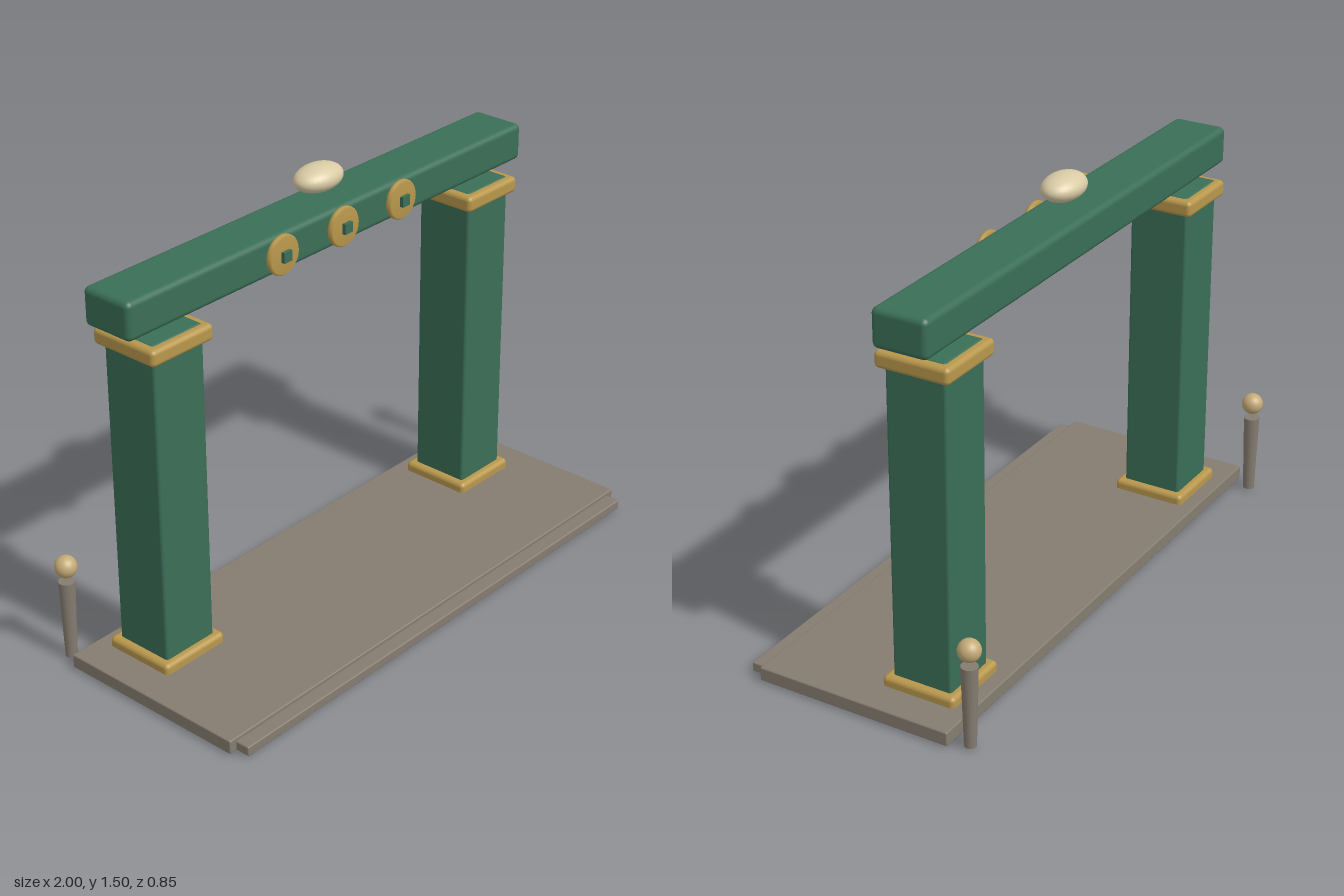
import * as THREE from 'three';
import { RoundedBoxGeometry } from 'three/addons/geometries/RoundedBoxGeometry.js';

const material = (color) => new THREE.MeshStandardMaterial({ color });

export function createModel() {
  const gate = new THREE.Group();
  gate.name = 'gateway';

  const green = material(0x3a6e57);
  const gold = material(0xb8974c);
  const stone = material(0x857c70);
  const ivory = material(0xd8caa4);
  const tan = material(0xc4aa78);
  const AXIS_Z = -0.147; // depth of the pillars and beam

  function add(name, geometry, mat, x, y, z, parent = gate) {
    const mesh = new THREE.Mesh(geometry, mat);
    mesh.name = name;
    mesh.position.set(x, y, z);
    parent.add(mesh);
    return mesh;
  }

  // Rounded block standing between heights y0 and y1
  function block(name, mat, w, d, y0, y1, x, z, radius) {
    return add(name, new RoundedBoxGeometry(w, y1 - y0, d, 3, radius), mat, x, (y0 + y1) / 2, z);
  }

  // Platform with a lower front step
  block('platform', stone, 2, 0.705, 0.009, 0.058, 0, 0.022, 0.005);
  block('frontStep', stone, 1.945, 0.1, 0.011, 0.045, 0, 0.375, 0.005);

  for (const [side, s] of [['left', 1], ['right', -1]]) {
    // Pillar with base and collar
    block(side + 'Pillar', green, 0.212, 0.214, 0.004, 1.22, s * 0.75, AXIS_Z, 0.01);
    block(side + 'PillarBase', gold, 0.265, 0.265, 0.008, 0.092, s * 0.75, AXIS_Z, 0.016);
    block(side + 'PillarCapital', gold, 0.262, 0.262, 1.16, 1.217, s * 0.75, AXIS_Z, 0.016);

    // Tapered post topped with a ball
    add(side + 'Post', new THREE.CylinderGeometry(0.028, 0.02, 0.286, 24), stone, s * 0.955, 0.152, -0.387);
    add(side + 'PostBall', new THREE.SphereGeometry(0.038, 24, 16), tan, s * 0.955, 0.35, -0.387);
  }

  // Cross beam
  block('beam', green, 1.88, 0.194, 1.255, 1.386, 0, AXIS_Z - 0.001, 0.02);

  // Round medallions with a square stud
  const discProfile = [[0, -0.013], [0.062, -0.013], [0.068, -0.006], [0.068, 0.004], [0.062, 0.011], [0, 0.012]]
    .map(([r, y]) => new THREE.Vector2(r, y));
  const discGeometry = new THREE.LatheGeometry(discProfile, 40).rotateX(Math.PI / 2);
  const studGeometry = new THREE.BoxGeometry(0.036, 0.036, 0.018);
  for (const x of [-0.285, 0, 0.285]) {
    const medallion = new THREE.Group();
    medallion.name = 'medallion';
    medallion.position.set(x, 1.32, -0.041);
    add('medallionDisc', discGeometry, gold, 0, 0, 0, medallion);
    add('medallionStud', studGeometry, green, 0, 0, 0.015, medallion);
    gate.add(medallion);
  }

  // Oval stone floating above the beam
  add('crownStone', new THREE.SphereGeometry(1, 32, 20).scale(0.097, 0.045, 0.066), ivory, 0, 1.461, AXIS_Z);

  return gate;
}
